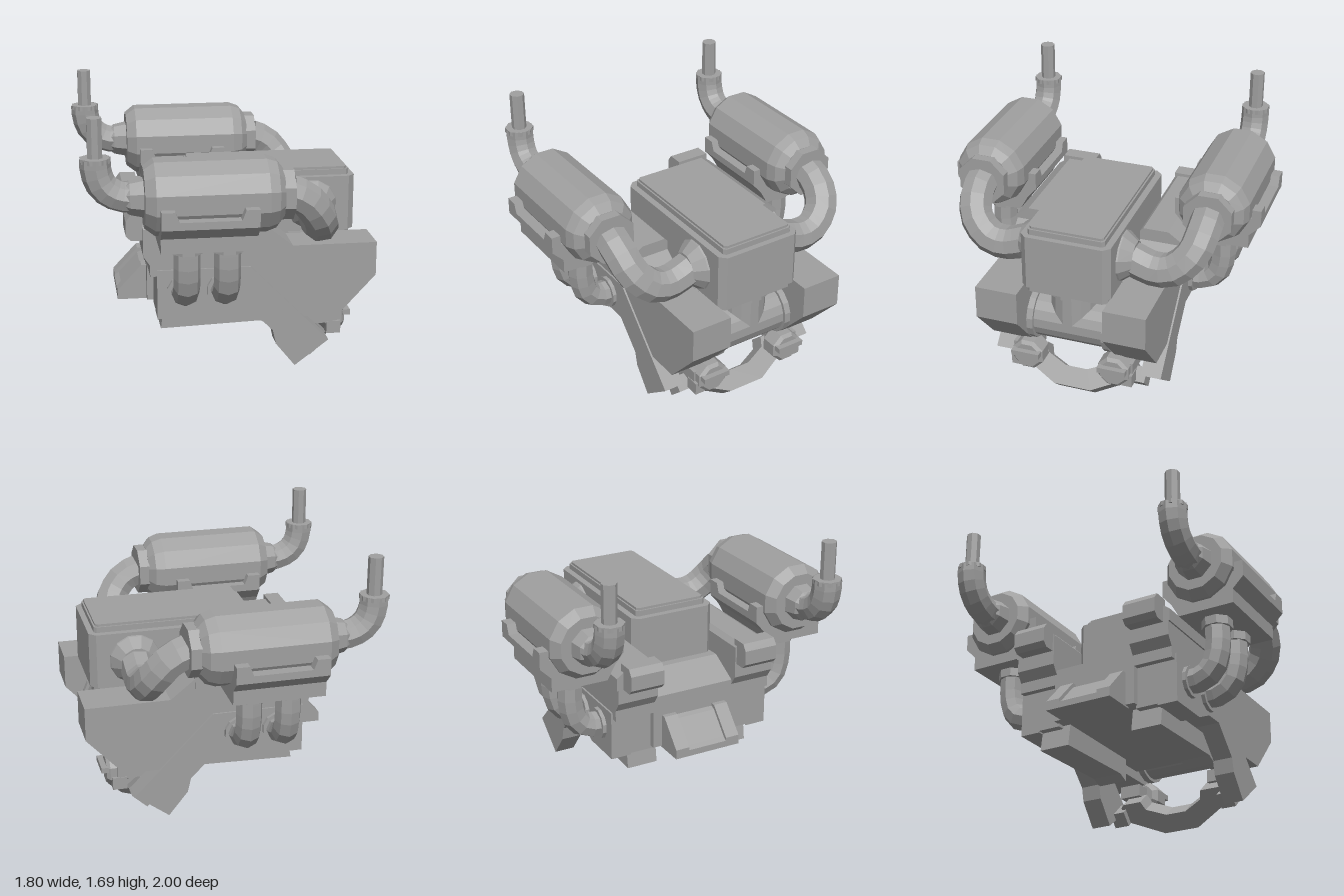
import * as THREE from 'three';

export function createModel() {
  const root = new THREE.Group();
  root.name = 'engine';
  const grey = new THREE.MeshStandardMaterial({ color: 0xa0a0a0, flatShading: true, side: THREE.DoubleSide });
  grey.name = 'engine grey';

  const add = (name, geo) => {
    const g = geo.index ? geo.toNonIndexed() : geo;
    g.computeVertexNormals();
    const m = new THREE.Mesh(g, grey);
    m.name = name;
    root.add(m);
    return g;
  };
  // adds a part and its copy mirrored across z, with corner order kept outward
  const pair = (name, geo) => {
    const g = add(name + 'Left', geo).clone();
    g.scale(1, 1, -1);
    const p = g.attributes.position, a = new THREE.Vector3(), b = new THREE.Vector3();
    for (let i = 0; i < p.count; i += 3) {
      a.fromBufferAttribute(p, i + 1);
      b.fromBufferAttribute(p, i + 2);
      p.setXYZ(i + 1, b.x, b.y, b.z);
      p.setXYZ(i + 2, a.x, a.y, a.z);
    }
    add(name + 'Right', g);
  };
  const extrude = (pts, depth) => new THREE.ExtrudeGeometry(
    new THREE.Shape(pts.map(([x, y]) => new THREE.Vector2(x, y))), { depth, bevelEnabled: false });
  // side outline (x, y) swept in z
  const alongZ = (pts, z0, z1) => extrude(pts, z1 - z0).translate(0, 0, z0);
  // end outline (z, y) swept in x
  const alongX = (pts, x0, x1) => extrude(pts.map(([z, y]) => [-z, y]), x1 - x0).rotateY(Math.PI / 2).translate(x0, 0, 0);
  const box = (x0, x1, y0, y1, z0, z1) => new THREE.BoxGeometry(x1 - x0, y1 - y0, z1 - z0)
    .translate((x0 + x1) / 2, (y0 + y1) / 2, (z0 + z1) / 2);
  // turned profile of (position, radius) about x, y or z
  const turned = (pts, sides, axis, x, y, z) => {
    const g = new THREE.LatheGeometry(pts.map(([h, r]) => new THREE.Vector2(r, h)), sides);
    g.rotateY(Math.PI / sides);
    if (axis === 'x') g.rotateZ(-Math.PI / 2);
    if (axis === 'z') g.rotateX(Math.PI / 2);
    return g.translate(x, y, z);
  };
  const tube = (pts, r, n = 7) => new THREE.TubeGeometry(
    new THREE.CatmullRomCurve3(pts.map(p => new THREE.Vector3(...p))), n, r, 8);
  // rectangular block with cut corners seen from above
  const cutBlock = (x0, x1, z, y0, y1, c) => extrude([
    [x0 + c, -z], [x1 - c, -z], [x1, c - z], [x1, z - c], [x1 - c, z], [x0 + c, z], [x0, z - c], [x0, c - z],
  ], y1 - y0).rotateX(-Math.PI / 2).translate(0, y0, 0);

  // central block and the stepped cover on its rear end
  add('centralBlock', alongZ([[-0.49, 0.42], [0.5, 0.42], [0.58, 0.5], [0.58, 0.82], [-0.3, 0.86], [-0.49, 0.76]], -0.28, 0.28));
  const cover = [[-0.67, 0.41], [-0.45, 0.41], [-0.45, 0.63], [-0.52, 0.63], [-0.67, 0.47]];
  pair('rearCoverCheek', alongZ(cover, 0.13, 0.22));
  add('rearCover', alongZ([[-0.67, 0.41], [-0.45, 0.41], [-0.45, 0.63], [-0.52, 0.6], [-0.64, 0.47], [-0.67, 0.45]], -0.13, 0.13));

  // cylinder banks
  pair('bank', alongZ([[-0.45, 0.4], [-0.17, 0.4], [-0.04, 0.46], [0.1, 0.46], [0.25, 0.36], [0.67, 0.36], [0.9, 0.61],
    [0.9, 0.82], [0.38, 0.82], [0.23, 0.94], [-0.53, 0.94], [-0.53, 0.79], [-0.49, 0.73], [-0.49, 0.66], [-0.45, 0.66]], 0.27, 0.535));
  pair('valveCover', alongX([[0.27, 0.88], [0.545, 0.88], [0.545, 0.96], [0.46, 1.02], [0.3, 1.02], [0.27, 0.99]], -0.53, 0.23));
  pair('valveCoverEnd', alongZ([[-0.63, 0.91], [-0.6, 0.88], [-0.5, 0.88], [-0.5, 1.04], [-0.6, 1.04], [-0.63, 1.0]], 0.28, 0.5));

  // bent support arms and lower rails
  pair('supportArm', alongZ([[-0.45, 0.39], [-0.17, 0.39], [-0.04, 0.45], [0.09, 0.45], [0.26, 0.28], [0.28, 0.19],
    [0.4, 0.04], [0.61, 0.2], [0.12, 0.7], [-0.45, 0.7]], 0.415, 0.546));
  pair('lowerRail', alongZ([[-0.42, 0.28], [0.2, 0.3], [0.27, 0.27], [0.27, 0.42], [-0.4, 0.42]], 0.22, 0.42));

  // U-shaped cross bar, tilted between the arms
  const half = [[0.12, 0.225], [0.34, 0.11], [0.37, 0], [0.35, -0.02], [0.22, -0.02], [0.2, 0.04], [0.07, 0.1]];
  const bar = extrude([...half, ...half.slice().reverse().map(([z, u]) => [-z, u])], 0.12);
  bar.applyMatrix4(new THREE.Matrix4().makeBasis(new THREE.Vector3(0, 0, 1),
    new THREE.Vector3(0.66, -0.75, 0), new THREE.Vector3(0.75, 0.66, 0)).setPosition(0.47, 0.17, 0));
  add('crossBar', bar);
  pair('barPin', new THREE.BoxGeometry(0.13, 0.1, 0.1).rotateZ(0.75).translate(0.53, 0.14, 0.39));

  // slotted plugs
  pair('plug', turned([[0.6, 0], [0.6, 0.075], [0.63, 0.105], [0.73, 0.105], [0.75, 0.085], [0.75, 0]], 8, 'x', 0, 0.28, 0.28));
  pair('plugBlade', box(0.74, 0.785, 0.29, 0.325, 0.19, 0.37));
  pair('plugStem', box(0.5, 0.69, 0.25, 0.33, 0.25, 0.39));
  pair('plugLug', box(0.63, 0.72, 0.18, 0.26, 0.33, 0.395));

  // cross pipe with a riser to the air box
  add('crossPipe', turned([[-0.26, 0], [-0.26, 0.17], [-0.22, 0.17], [-0.22, 0.15], [0.22, 0.15], [0.22, 0.17], [0.26, 0.17], [0.26, 0]],
    16, 'z', 0.62, 0.55, 0));
  add('riser', turned([[0.55, 0.15], [0.765, 0.15], [0.765, 0.17], [0.8, 0.17]], 16, 'y', 0.62, 0, 0));

  // air box
  add('airBoxBase', cutBlock(-0.22, 0.79, 0.26, 0.79, 0.83, 0.03));
  add('airBox', cutBlock(-0.24, 0.815, 0.28, 0.83, 1.175, 0.04));
  add('airBoxLid', cutBlock(-0.2, 0.78, 0.24, 1.175, 1.21, 0.015));
  add('airBoxLidTop', cutBlock(-0.19, 0.77, 0.23, 1.21, 1.225, 0.015));

  // mufflers with necks and collars
  const Z = 0.725, Y = 1.215;
  pair('muffler', turned([[-0.54, 0], [-0.54, 0.18], [-0.48, 0.226], [0.17, 0.226], [0.23, 0.205], [0.27, 0.155], [0.27, 0]], 12, 'x', 0, Y, Z));
  pair('mufflerNeck', turned([[-0.64, 0.085], [-0.62, 0.1], [-0.53, 0.12]], 8, 'x', 0, Y, Z));
  pair('mufflerCollar', turned([[0.26, 0], [0.26, 0.16], [0.33, 0.16], [0.33, 0]], 8, 'x', 0, Y, Z));

  // exhaust elbows and stacks
  pair('exhaustElbow', tube([[-0.6, Y, Z], [-0.68, 1.225, Z], [-0.765, 1.28, Z], [-0.805, 1.37, Z], [-0.81, 1.455, Z]], 0.09));
  pair('exhaustStack', turned([[1.43, 0], [1.43, 0.09], [1.458, 0.09], [1.458, 0.046], [1.69, 0.046], [1.69, 0]], 8, 'y', -0.81, 0, Z));

  // intake pipes curving into the air box
  pair('intakePipe', tube([[0.31, Y, Z], [0.41, 1.17, Z], [0.5, 1.06, 0.69], [0.54, 0.96, 0.58], [0.54, 0.945, 0.46], [0.54, 0.99, 0.33]], 0.105, 10));
  pair('intakeFlare', turned([[0.26, 0.165], [0.29, 0.155], [0.36, 0.1]].map(([h, r]) => [-h, r]).reverse(), 12, 'z', 0.54, 1.0, 0)
    .translate(0, 0, 0).scale(1, 1, -1));

  // muffler cradles with raised corner tabs
  pair('cradle', alongX([[0.57, 0.93], [0.93, 0.93], [0.93, 1.02], [1, 1.09], [1, 1.135], [0.46, 1.135], [0.46, 1.09], [0.52, 1.02]], -0.46, 0.1));
  for (const [z0, z1] of [[0.46, 0.52], [0.94, 1]]) {
    pair('cradleTabRear', alongZ([[-0.46, 1.13], [-0.355, 1.13], [-0.38, 1.195], [-0.46, 1.195]], z0, z1));
    pair('cradleTabFront', alongZ([[-0.005, 1.13], [0.1, 1.13], [0.1, 1.195], [0.02, 1.195]], z0, z1));
  }

  // header pipes from the banks to the cradles
  for (const x of [-0.29, -0.05]) {
    pair('headerPipe', tube([[x, 0.92, 0.74], [x, 0.75, 0.74], [x, 0.64, 0.71], [x, 0.58, 0.64], [x, 0.57, 0.54]], 0.08));
    pair('headerCollar', turned([[0.875, 0], [0.875, 0.095], [0.935, 0.095]], 8, 'y', x, 0, 0.74));
    pair('headerFlange', turned([[0.53, 0.1], [0.57, 0.1], [0.57, 0]], 12, 'z', x, 0.57, 0));
  }
  return root;
}
